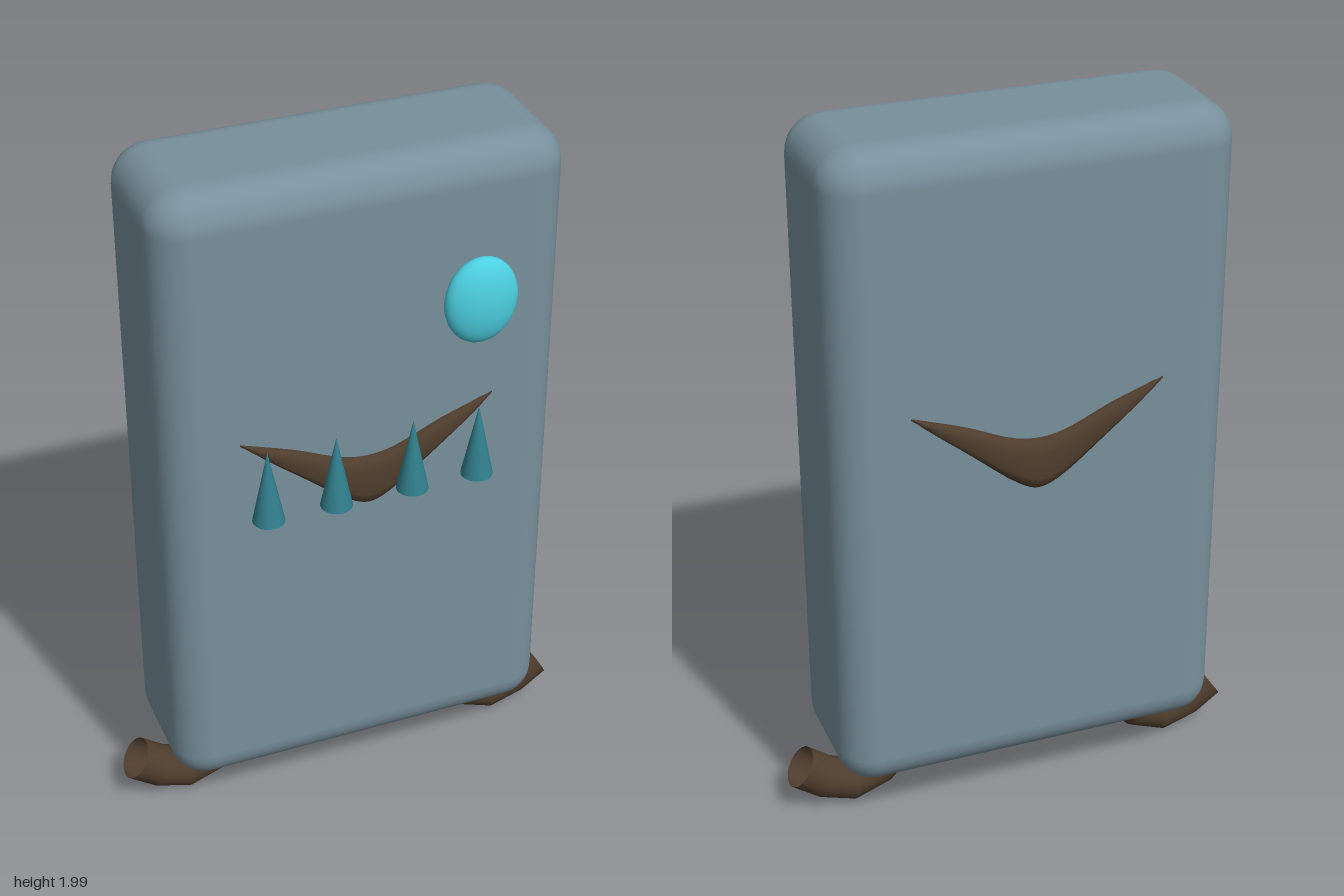
import * as THREE from 'three';
import { RoundedBoxGeometry } from 'three/addons/geometries/RoundedBoxGeometry.js';

const paint = (color, side = THREE.FrontSide) => new THREE.MeshStandardMaterial({ color, side });

// Grin running through the body: rounded sections lofted along x
function grinGeometry() {
  const lower = new THREE.CatmullRomCurve3([
    [-0.35, 1.285], [-0.2, 1.162], [-0.05, 1.04], [0, 1.02], [0.05, 1.04], [0.2, 1.162], [0.35, 1.285],
  ].map(([x, y]) => new THREE.Vector3(x, y, 0)));
  const upper = new THREE.CatmullRomCurve3([
    [-0.35, 1.295], [-0.2, 1.243], [-0.07, 1.19], [0, 1.18], [0.07, 1.19], [0.2, 1.243], [0.35, 1.295],
  ].map(([x, y]) => new THREE.Vector3(x, y, 0)));
  // Half section: depth fraction and height fraction
  const half = [[0.72, 1], [0.88, 0.96], [0.96, 0.8], [1, 0.45]];
  const ring = [
    ...half, ...half.map(([z, y]) => [z, -y]).reverse(),
    ...half.map(([z, y]) => [-z, -y]), ...half.map(([z, y]) => [-z, y]).reverse(),
  ];
  const steps = 24, n = ring.length, pos = [], index = [];
  for (let i = 0; i <= steps; i++) {
    const lo = lower.getPoint(i / steps), hi = upper.getPoint(i / steps);
    const outer = Math.max(0, Math.abs(hi.x) - 0.2) / 0.15;
    const depth = 0.237 - 0.025 * outer * outer;
    for (const [z, y] of ring) {
      const t = (y + 1) / 2;
      pos.push(lo.x + (hi.x - lo.x) * t, lo.y + (hi.y - lo.y) * t, z * depth - 0.037);
    }
  }
  for (let i = 0; i < steps; i++) {
    for (let j = 0; j < n; j++) {
      const a = i * n + j, b = i * n + (j + 1) % n;
      index.push(a, b, a + n, b, b + n, a + n);
    }
  }
  const g = new THREE.BufferGeometry();
  g.setAttribute('position', new THREE.Float32BufferAttribute(pos, 3));
  g.setIndex(index);
  g.computeVertexNormals();
  return g;
}

export function createModel() {
  const model = new THREE.Group();
  const add = (name, geometry, material, x = 0, y = 0, z = 0) => {
    const mesh = new THREE.Mesh(geometry, material);
    mesh.name = name;
    mesh.position.set(x, y, z);
    model.add(mesh);
    return mesh;
  };
  const brown = paint(0x4e3d2d, THREE.DoubleSide);

  // Slab body
  add('body', new RoundedBoxGeometry(1.1, 1.835, 0.425, 4, 0.1), paint(0x78909c), 0, 1.0825, -0.0375);

  // Single eye
  add('eye', new THREE.SphereGeometry(1, 32, 20), paint(0x4dd0e1), 0.29, 1.6, 0.21).scale.set(0.1, 0.122, 0.046);

  // Mouth and teeth
  add('mouth', grinGeometry(), brown);
  const toothMaterial = paint(0x317f8c);
  const tooth = new THREE.ConeGeometry(0.043, 0.21, 24);
  for (const x of [-0.295, -0.108, 0.105, 0.29]) add('tooth', tooth, toothMaterial, x, 1.183, 0.226);

  // Bent, open-ended feet
  for (const s of [1, -1]) {
    const path = new THREE.CatmullRomCurve3([
      [0.25, 0.3], [0.32, 0.19], [0.395, 0.1], [0.475, 0.066], [0.55, 0.09], [0.625, 0.143],
    ].map(([x, y]) => new THREE.Vector3(s * x, y, -0.035)));
    add(s > 0 ? 'leftFoot' : 'rightFoot', new THREE.TubeGeometry(path, 6, 0.06, 20), brown);
  }
  return model;
}
